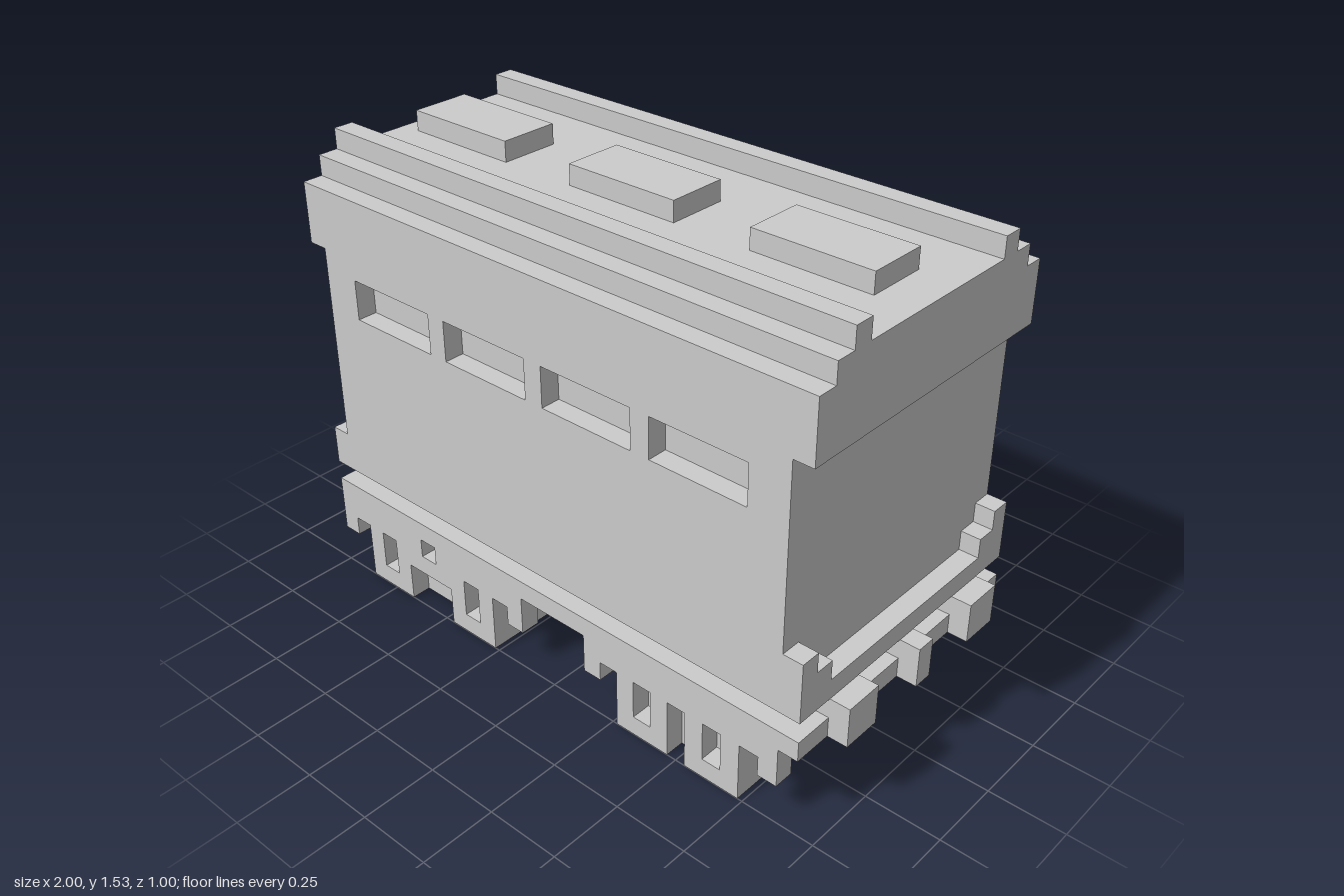
import * as THREE from 'three';

const U = 1 / 15; // one block; all dimensions below are in blocks
const material = new THREE.MeshStandardMaterial({ color: 0xcccccc, flatShading: true });

export function createModel() {
  const model = new THREE.Group();
  model.name = 'railCar';

  function add(name, geometry) {
    const mesh = new THREE.Mesh(geometry, material);
    mesh.name = name;
    model.add(mesh);
    return mesh;
  }

  // Box given by its extents on each axis
  function box(name, x0, x1, y0, y1, z0, z1) {
    const g = new THREE.BoxGeometry(x1 - x0, y1 - y0, z1 - z0);
    g.translate((x0 + x1) / 2, (y0 + y1) / 2, (z0 + z1) / 2);
    return add(name, g.scale(U, U, U));
  }

  // The same box on both long sides
  function pair(name, x0, x1, y0, y1, z0, z1) {
    box(name + 'Front', x0, x1, y0, y1, z0, z1);
    box(name + 'Back', x0, x1, y0, y1, -z1, -z0);
  }

  // One-block-thick panel with rectangular holes, on both long sides
  function panels(name, outline, holes) {
    const shape = new THREE.Shape(outline.map(([x, y]) => new THREE.Vector2(x, y)));
    for (const [x0, x1, y0, y1] of holes) {
      shape.holes.push(new THREE.Path([
        new THREE.Vector2(x0, y0), new THREE.Vector2(x0, y1),
        new THREE.Vector2(x1, y1), new THREE.Vector2(x1, y0),
      ]));
    }
    for (const [side, z] of [['Front', 6.5], ['Back', -7.5]]) {
      const g = new THREE.ExtrudeGeometry(shape, { depth: 1, bevelEnabled: false });
      add(name + side, g.translate(0, 0, z).scale(U, U, U));
    }
  }

  // Body with recessed windows
  box('bodyCore', -14, 13, 6, 18, -6.5, 6.5);
  panels('bodySide', [[-14, 6], [13, 6], [13, 18], [-14, 18]],
    [-12, -6, 0, 6].map((x) => [x, x + 5, 15, 17]));

  // Stepped sills at both ends
  box('endSillLeft', 13, 14, 6, 7, -7.5, 7.5);
  pair('endSillLeftStep', 13, 14, 7, 8, 5.5, 7.5);
  pair('endSillLeftCorner', 13, 14, 8, 9, 6.5, 7.5);
  box('endSillRight', -15, -14, 6, 7, -7.5, 7.5);
  pair('endSillRightCorner', -15, -14, 7, 8, 6.5, 7.5);

  // Roof with rails and vents
  box('roofBase', -15, 14, 18, 21, -7.5, 7.5);
  box('roofTop', -15, 14, 21, 22, -6.5, 6.5);
  pair('roofRail', -15, 14, 22, 23, 4.5, 5.5);
  for (const x of [-14, -4, 6]) box('roofVent', x, x + 6, 22, 23, -1.5, 1.5);

  // Recessed neck between body and underframe
  box('neck', -15, 13, 5, 6, -5.5, 5.5);
  box('underframe', -15, 14, 4, 5, -6.5, 6.5);

  // Couplers on the left end
  pair('buffer', 13, 15, 4, 6, 3.5, 5.5);
  box('coupler', 13, 15, 4, 6, -0.5, 0.5);

  // Wheel trucks, full width behind the side frames
  box('truckRight', -13, -4, 0, 4, -6.5, 6.5);
  box('truckLeft', 4, 11, 0, 4, -6.5, 6.5);

  // Side frames: stepped lower edge as [end x, bottom y], running from x = -15
  const steps = [[-14, 2], [-13, 3], [-10, 0], [-7, 2], [-4, 0], [-3, 3], [-2, 2], [2, 4],
    [3, 2], [4, 3], [7, 0], [8, 3], [11, 0], [12, 3], [13, 2], [14, 4]];
  const outline = [[-15, 5]];
  let x = -15;
  for (const [end, y] of steps) {
    outline.push([x, y], [end, y]);
    x = end;
  }
  outline.push([14, 5]);
  panels('sideFrame', outline,
    [[-12, -11, 1, 3], [-9, -8, 3, 4], [-6, -5, 1, 3], [5, 6, 1, 3], [9, 10, 1, 3]]);

  return model;
}
